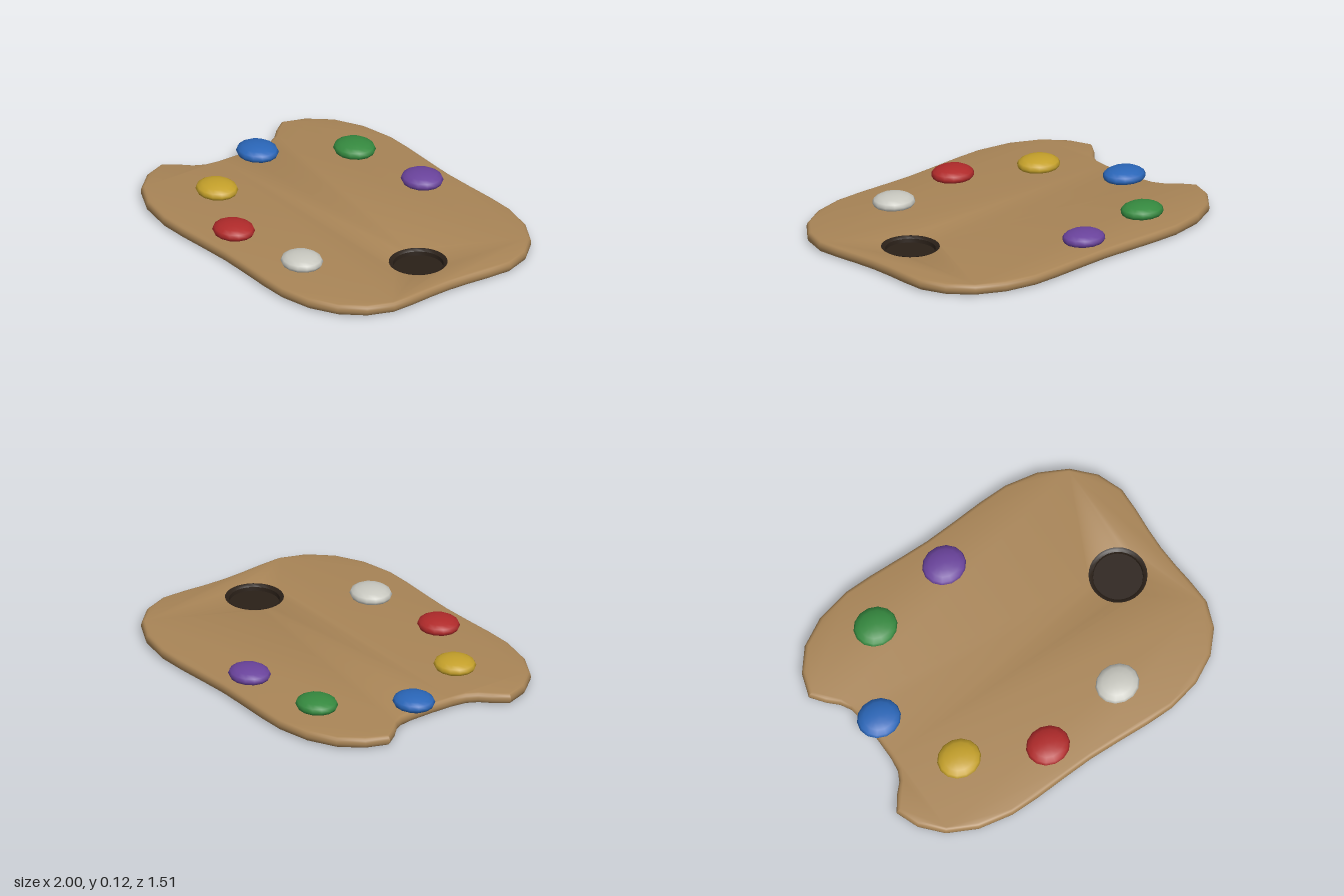
import * as THREE from 'three';
import { toCreasedNormals } from 'three/addons/utils/BufferGeometryUtils.js';

const TOP = 0.06, BOTTOM = 0.003, MIDDLE = (TOP + BOTTOM) / 2;
const BEVEL = 0.02, BEVEL_HEIGHT = 0.024;
const HOLE = { x: 0.7, z: 0, r: 0.133 };

// Half of the board outline, from the notch round to the thumb side; the other half is mirrored
const HALF = [
  [-0.845, 0], [-0.848, 0.13], [-0.86, 0.21], [-0.89, 0.265], [-0.945, 0.32], [-1, 0.395],
  [-0.955, 0.52], [-0.855, 0.635], [-0.7, 0.715], [-0.51, 0.753], [-0.35, 0.753], [-0.17, 0.744],
  [0, 0.738], [0.17, 0.744], [0.35, 0.753], [0.51, 0.753], [0.69, 0.715], [0.84, 0.635],
  [0.945, 0.52], [0.997, 0.38], [0.993, 0.25], [0.982, 0.12], [0.977, 0],
];

// Half of the thumb hole lining (radius, height above the middle): flared lip, wall, floor
const LINING = [[0.154, 0.0315], [0.143, 0.0295], [0.1325, 0.0205], [0.13, 0], [0, 0]];

const PAINTS = [
  ['bluePaint', 0x2a66b8, -0.78, -0.073],
  ['greenPaint', 0x35893f, -0.5, -0.497],
  ['purplePaint', 0x6a439c, -0.01, -0.567],
  ['yellowPaint', 0xc4a02a, -0.57, 0.353],
  ['redPaint', 0xb02a2a, -0.15, 0.563],
  ['whitePaint', 0xc8c8c0, 0.345, 0.493],
];

function addMesh(parent, name, geometry, material) {
  const mesh = new THREE.Mesh(geometry, material);
  mesh.name = name;
  parent.add(mesh);
  return mesh;
}

// Wavy board with rounded edges and a round hole
function boardGeometry() {
  const mirrored = HALF.slice(1, -1).reverse().map(([x, y]) => [x, -y]);
  // Outline runs counter-clockwise, the hole clockwise
  const outline = [...HALF, ...mirrored].reverse().map(([x, y]) => new THREE.Vector2(x, y));
  const shape = new THREE.Shape(outline);
  const hole = new THREE.Path();
  hole.absarc(HOLE.x, -HOLE.z, HOLE.r, 0, Math.PI * 2, true);
  shape.holes.push(hole);
  const geometry = new THREE.ExtrudeGeometry(shape, {
    depth: TOP - BOTTOM - 2 * BEVEL_HEIGHT,
    bevelThickness: BEVEL_HEIGHT, bevelSize: BEVEL, bevelOffset: -BEVEL, bevelSegments: 3,
    curveSegments: 16,
  });
  geometry.rotateX(-Math.PI / 2).translate(0, BOTTOM + BEVEL_HEIGHT, 0);
  return toCreasedNormals(geometry, 0.7);
}

export function createModel() {
  const model = new THREE.Group();
  model.name = 'paintPalette';
  addMesh(model, 'board', boardGeometry(), new THREE.MeshStandardMaterial({ color: 0xa98557 }));

  // Dark thumb hole, recessed from above and from below
  const dark = new THREE.MeshStandardMaterial({ color: 0x2a2018, side: THREE.DoubleSide });
  const profile = LINING.map(([r, y]) => new THREE.Vector2(r, y));
  const lining = toCreasedNormals(new THREE.LatheGeometry(profile, 32), 0.7);
  for (const [name, turn] of [['thumbHoleTop', 0], ['thumbHoleBottom', Math.PI]]) {
    const half = addMesh(model, name, lining, dark);
    half.position.set(HOLE.x, MIDDLE, HOLE.z);
    half.rotation.x = turn;
  }

  // Flattened blobs of paint
  const blob = new THREE.SphereGeometry(1, 14, 8);
  for (const [name, color, x, z] of PAINTS) {
    const paint = addMesh(model, name, blob, new THREE.MeshStandardMaterial({ color }));
    paint.scale.set(0.119, 0.045, 0.108);
    paint.position.set(x, 0.077, z);
  }
  return model;
}
